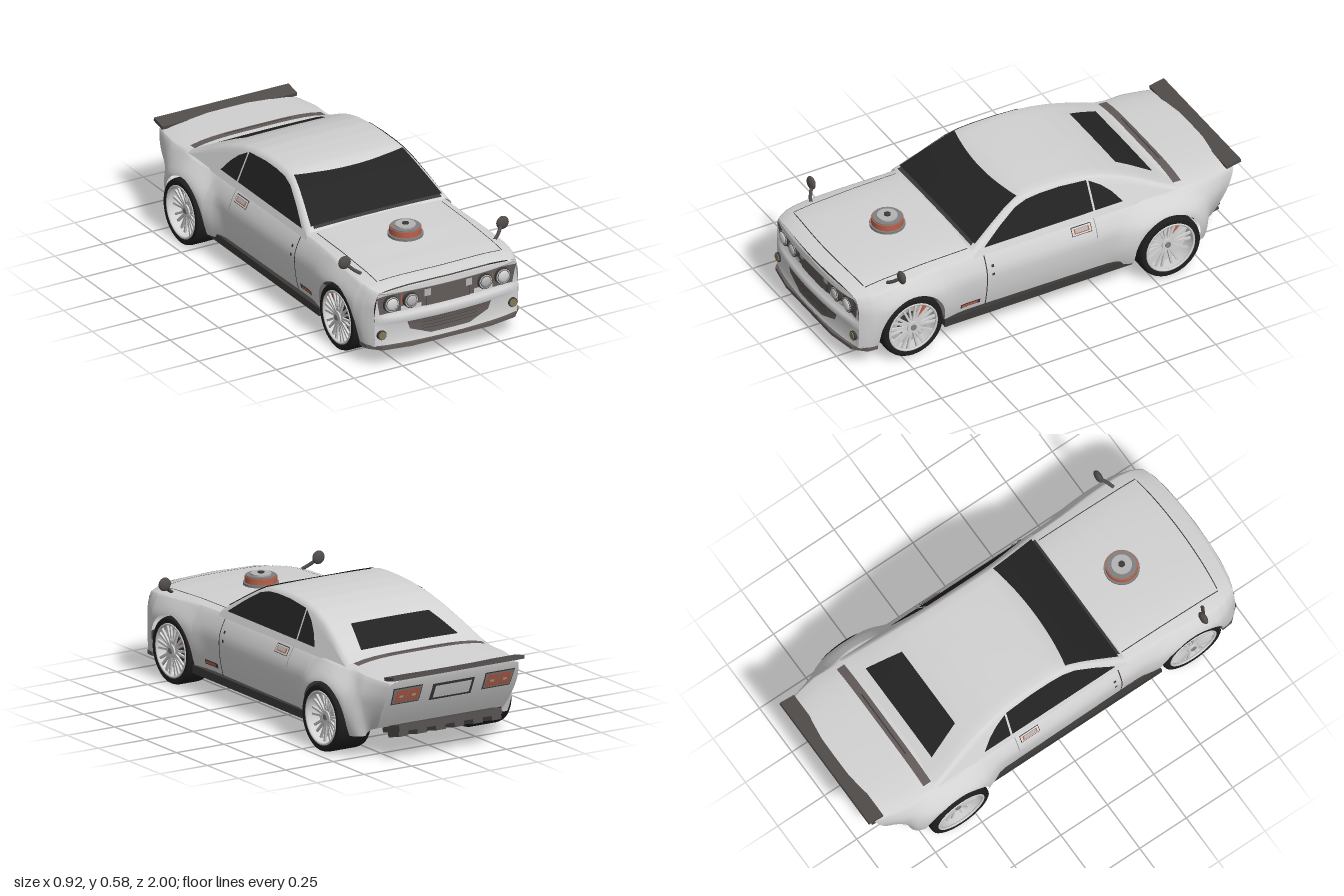
import * as THREE from 'three';

const mat = (name, color) => new THREE.MeshStandardMaterial({ name, color, side: THREE.DoubleSide });
const M = {
  paint: mat('silver paint', 0xd2d2d2), glass: mat('dark glass', 0x232323), tyre: mat('tyre rubber', 0x1e1e1e),
  trim: mat('dark trim', 0x3c3a39), grille: mat('grey grille', 0x625b59), chrome: mat('chrome', 0xb4b4b4),
  rust: mat('rust red', 0xb8614a), tan: mat('lamp and floor tan', 0x82785a), steel: mat('steel', 0x808080), charcoal: mat('charcoal', 0x504c4a),
};

// ---- helpers ----
const lerp = (a, b, t) => a + (b - a) * t;
const smooth = (a, b, x) => THREE.MathUtils.smoothstep(x, a, b);
function table(...p) { // piecewise curve through [z, value] pairs, z rising
  return z => {
    if (z <= p[0][0]) return p[0][1];
    for (let i = 1; i < p.length; i++) if (z <= p[i][0])
      return lerp(p[i - 1][1], p[i][1], (z - p[i - 1][0]) / (p[i][0] - p[i - 1][0]));
    return p[p.length - 1][1];
  };
}
function grid(rows) { // skin over rows of equal length
  const n = rows[0].length, idx = [];
  for (let i = 0; i < rows.length - 1; i++) for (let j = 0; j < n - 1; j++) {
    const a = i * n + j, b = a + n;
    idx.push(a, a + 1, b, b, a + 1, b + 1);
  }
  const g = new THREE.BufferGeometry();
  g.setAttribute('position', new THREE.Float32BufferAttribute(rows.flat(2), 3));
  g.setIndex(idx);
  g.computeVertexNormals();
  return g;
}
const patch = (nu, nv, f) => grid(Array.from({ length: nv + 1 }, (_, j) =>
  Array.from({ length: nu + 1 }, (_, i) => f(i / nu, j / nv))));
const mirrorRow = half => [...half, ...half.slice(0, -1).reverse().map(([x, y, z]) => [-x, y, z])];

// ---- body shape rules ----
const ZF = 0.95, ZR = -0.97, ARCH = 0.165, AXLE_Y = 0.153;
const axles = [{ z: 0.70, flare: 0.012 }, { z: -0.58, flare: 0.038 }];
const halfW = table([-0.97, 0.348], [-0.9, 0.373], [-0.8, 0.402], [-0.6, 0.415], [-0.4, 0.41], [0, 0.405], [0.4, 0.4],
  [0.7, 0.41], [0.85, 0.407], [0.9, 0.396], [0.93, 0.382], [0.95, 0.368]);
const tuck = table([-0.97, 0.012], [-0.7, 0.045], [0.7, 0.04], [0.95, 0.02]);
const centreY = table([-0.97, 0.405], [-0.65, 0.418], [0.35, 0.425], [0.6, 0.42], [0.8, 0.408], [0.9, 0.396], [0.95, 0.384]);
const beltY = z => centreY(z) - 0.028;
const beltX = z => halfW(z) - tuck(z);
const sill = table([-0.97, 0.15], [-0.85, 0.108], [-0.74, 0.105], [0.95, 0.1]);
const topY = (x, z) => lerp(centreY(z), beltY(z), Math.min(1, Math.abs(x) / beltX(z)) ** 4);
function sideX(y, z) {
  let x = halfW(z);
  if (y > 0.29) x -= tuck(z) * Math.min(1, (y - 0.29) / (beltY(z) - 0.29)) ** 1.6;
  else x -= 0.03 * ((0.29 - y) / 0.19) ** 2 * (1 - 0.8 * smooth(0.83, 0.94, z));
  for (const a of axles) x += a.flare * (1 - smooth(0.165, 0.275, Math.hypot(z - a.z, y - AXLE_Y)));
  return x;
}
// bowed nose and raked tail
const warp = (x, y, z) => [x, y, z + 0.035 * (1 - (x / 0.38) ** 2) * smooth(0.7, ZF, z)
  + 0.1 * (Math.max(0, 0.4 - y) / 0.22) ** 1.4 * (1 - smooth(ZR, -0.77, z))];
function bottomY(z) {
  for (const a of axles) {
    const d = Math.abs(z - a.z);
    if (d <= ARCH + 1e-6) return AXLE_Y + Math.sqrt(Math.max(0, ARCH * ARCH - d * d));
  }
  return sill(z);
}
const noseDepth = table([0.1, 0.01], [0.13, 0], [0.2, 0], [0.205, 0.012], [0.242, 0.012], [0.248, -0.02], [0.345, -0.02], [0.352, 0.015], [0.384, 0.012]);
const noseZ = (x, y) => warp(x, y, ZF + noseDepth(y) * (1 - Math.min(1, Math.abs(x) / sideX(y, ZF)) ** 8))[2];
const tailZ = (x, y) => warp(x, y, ZR)[2];

// ---- cabin shape rules ----
const roofY = table([-0.66, 0.403], [-0.6, 0.43], [-0.5, 0.48], [-0.4, 0.523], [-0.3, 0.554], [-0.2, 0.572], [-0.1, 0.579],
  [0, 0.579], [0.07, 0.574], [0.12, 0.56], [0.18, 0.53], [0.25, 0.489], [0.37, 0.415]);
const cabinX = y => 0.362 - 0.42 * (y - 0.41);
const roofAt = (x, z) => roofY(z) + 0.006 * (1 - (x / 0.36) ** 2);

export function createModel() {
  const car = new THREE.Group();
  car.name = 'car';
  const add = (name, geo, m, x = 0, y = 0, z = 0, parent = car) => {
    const o = new THREE.Mesh(geo, m);
    o.name = name;
    o.position.set(x, y, z);
    parent.add(o);
    return o;
  };
  const box = (name, m, w, h, d, x, y, z) => add(name, new THREE.BoxGeometry(w, h, d), m, x, y, z);
  const tube = (name, m, r, pts) => add(name, new THREE.TubeGeometry(
    new THREE.CatmullRomCurve3(pts.map(p => new THREE.Vector3(...p))), 32, r, 10), m);
  const disc = (name, m, r, d, x, y, z) => add(name, new THREE.CylinderGeometry(r, r, d, 24).rotateX(Math.PI / 2), m, x, y, z);

  // Lower body: loft with wheel arches cut by the lower edge
  const zs = [];
  const span = (a, b, n) => { for (let i = 0; i <= n; i++) zs.push(lerp(a, b, i / n)); };
  span(ZF, 0.868, 8);
  for (let k = 0; k <= 24; k++) zs.push(0.70 + ARCH * Math.cos(k / 24 * Math.PI));
  span(0.532, -0.412, 24);
  for (let k = 0; k <= 24; k++) zs.push(-0.58 + ARCH * Math.cos(k / 24 * Math.PI));
  span(-0.748, ZR, 12);
  const us = [0.98, 0.94, 0.88, 0.8, 0.6, 0.3, 0];
  add('bodyShell', grid(zs.map(z => {
    const half = [];
    for (let k = 0; k <= 12; k++) {
      const y = lerp(bottomY(z), beltY(z), k / 12);
      half.push(warp(sideX(y, z), y, z));
    }
    for (const u of us) half.push(warp(u * beltX(z), topY(u * beltX(z), z), z));
    return mirrorRow(half);
  })), M.paint);

  // Nose and tail panels
  const endWidth = (y, z) => y <= beltY(z) ? sideX(y, z) : beltX(z) * Math.max(0, 1 - (y - beltY(z)) / 0.028) ** 0.25;
  const cap = (name, ys, z, depth) => add(name, grid(ys.map(y => Array.from({ length: 33 }, (_, i) => {
    const x = (i / 16 - 1) * endWidth(y, z);
    return [x, y, depth(x, y)];
  }))), M.paint);
  cap('nosePanel', [0.1, 0.13, 0.2, 0.205, 0.242, 0.248, 0.345, 0.352, 0.356, 0.37, 0.38, 0.384], ZF, noseZ);
  cap('tailPanel', [0.15, 0.19, 0.24, 0.3, 0.35, 0.377, 0.39, 0.4, 0.405], ZR, tailZ);
  // thin trapezoid plate laid on nose or tail: spans at bottom and top
  const plate = (name, m, y0, a0, b0, y1, a1, b1, depth, off) => add(name, patch(16, 3, (u, v) => {
    const y = lerp(y0, y1, v), x = lerp(lerp(a0, a1, v), lerp(b0, b1, v), u);
    return [x, y, depth(x, y) + off];
  }), m);
  plate('upperGrille', M.grille, 0.249, -0.34, 0.34, 0.336, -0.357, 0.357, noseZ, 0.004);
  plate('grilleFrame', M.trim, 0.249, -0.113, 0.113, 0.344, -0.113, 0.113, noseZ, 0.007);
  plate('centreMesh', M.grille, 0.25, -0.11, 0.11, 0.342, -0.11, 0.11, noseZ, 0.009);
  plate('lowerGrille', M.grille, 0.163, -0.2, 0.2, 0.201, -0.215, 0.215, noseZ, 0.004);
  plate('lowerGrilleChin', M.grille, 0.125, -0.1, 0.1, 0.163, -0.2, 0.2, noseZ, 0.004);
  for (const y of [0.15, 0.165, 0.18]) plate('grilleSlat', M.trim, y, -0.14, 0.14, y + 0.002, -0.14, 0.14, noseZ, 0.006);

  // Front splitter and pan
  const pan = new THREE.Shape([[-0.2, 1], [0.2, 1], [0.34, 0.975], [0.39, 0.92], [0.395, 0.87], [0.26, 0.85], [0.26, 0.5], [-0.26, 0.5],
    [-0.26, 0.85], [-0.395, 0.87], [-0.39, 0.92], [-0.34, 0.975]].map(p => new THREE.Vector2(...p)));
  add('frontSplitter', new THREE.ExtrudeGeometry(pan, { depth: 0.018, bevelEnabled: false }).rotateX(Math.PI / 2), M.grille, 0, 0.104, 0);

  // Cabin shell
  const cz = Array.from({ length: 55 }, (_, i) => lerp(0.37, -0.66, i / 54));
  add('cabin', grid(cz.map(z => {
    const top = roofY(z), half = [], low = 0.385;
    for (let k = 0; k <= 5; k++) { const y = lerp(low, Math.max(low, top - 0.016), k / 5); half.push([cabinX(y), y, z]); }
    half.push([cabinX(top) - 0.004, top - 0.006, z]);
    const w = cabinX(top) - 0.016;
    for (const u of [1, 0.85, 0.6, 0.3, 0]) half.push([u * w, roofAt(u * w, z), z]);
    return mirrorRow(half);
  })), M.paint);
  // glass or trim lying on the sloping screen, between two z lines
  const screen = (name, m, z0, z1, bow, inset) => add(name, patch(20, 16, (u, v) => {
    const s = 2 * u - 1, z = lerp(z0, z1 + bow * (1 - s * s), v), x = s * (cabinX(roofY(z)) - inset);
    return [x, roofAt(x, z) + 0.005, z];
  }), m);
  screen('windshield', M.glass, 0.348, 0.102, 0.03, 0.018);
  screen('cowlStrip', M.trim, 0.362, 0.348, 0, 0.03);
  add('rearWindow', patch(12, 10, (u, v) => {
    const z = lerp(-0.6, -0.44, v), x = (2 * u - 1) * lerp(0.255, 0.205, v);
    return [x, roofAt(x, z) + 0.005, z];
  }), M.glass);

  // Strips on the upper surfaces
  const topStrip = (name, m, x0, x1, z0, z1, off = 0.003) => add(name, patch(12, 12, (u, v) => {
    const x = lerp(x0, x1, u), z = lerp(z0, z1, v), p = warp(x, topY(x, z), z);
    return [p[0], p[1] + off, p[2]];
  }), m);
  topStrip('deckVent', M.grille, -0.335, 0.335, -0.7, -0.66, 0.006);
  topStrip('deckVentSlot', M.trim, -0.17, 0.17, -0.685, -0.679, 0.009);
  topStrip('hoodFrontGap', M.trim, -0.31, 0.31, 0.885, 0.889);

  // Spoiler
  add('spoiler', new THREE.BoxGeometry(0.69, 0.016, 0.076), M.charcoal, 0, 0.402, -0.962).rotation.x = 0.2;

  for (const s of [1, -1]) {
    // Side glass
    const pane = (name, pts) => {
      const g = new THREE.ShapeGeometry(new THREE.Shape(pts.map(p => new THREE.Vector2(...p))));
      const p = g.attributes.position;
      for (let i = 0; i < p.count; i++) { const z = p.getX(i), y = p.getY(i); p.setXYZ(i, s * (cabinX(y) + 0.004), y, z); }
      g.computeVertexNormals();
      add(name, g, M.glass);
    };
    pane('doorWindow', [[0.315, 0.418], [0.22, 0.485], [0.13, 0.54], [0.07, 0.558], [0, 0.564], [-0.1, 0.564], [-0.235, 0.553], [-0.24, 0.418]]);
    pane('quarterWindow', [[-0.25, 0.418], [-0.245, 0.548], [-0.3, 0.515], [-0.345, 0.475], [-0.39, 0.418]]);
    // Painted and applied side details
    const side = (name, m, z0, z1, y0, y1, off = 0.003) => add(name, patch(6, 12, (u, v) => {
      const z = lerp(z0, z1, u), y = lerp(y0, y1, v);
      return [s * (sideX(y, z) + off), y, z];
    }), m);
    side('doorGapFront', M.trim, 0.318, 0.323, 0.125, 0.39);
    side('doorGapRear', M.steel, -0.237, -0.234, 0.3, 0.39);
    side('handlePlate', M.trim, -0.215, -0.115, 0.34, 0.378, 0.003);
    side('handleRim', M.paint, -0.212, -0.118, 0.343, 0.375, 0.004);
    side('handleRecess', M.rust, -0.203, -0.127, 0.349, 0.37, 0.005);
    side('doorHandle', M.chrome, -0.196, -0.133, 0.354, 0.37, 0.007);
    side('sideMarkerFrame', M.trim, 0.35, 0.45, 0.15, 0.172);
    side('sideMarker', M.rust, 0.365, 0.445, 0.154, 0.168, 0.005);
    for (const y of [0.285, 0.325]) side('fenderBadgeStud', M.trim, 0.282, 0.295, y, y + 0.013);
    box('sideSkirt', M.trim, 0.035, 0.037, 0.95, s * 0.385, 0.107, 0.06);
    topStrip('hoodSideGap', M.trim, s * 0.318, s * 0.322, 0.376, 0.887);

    // Lamps
    for (const [x, r, lens] of [[0.285, 0.039, M.paint], [0.19, 0.036, M.chrome]]) {
      const z = noseZ(x, 0.295);
      disc('headlightRing', M.trim, r, 0.03, s * x, 0.295, z + 0.004);
      disc('headlightBezel', M.chrome, r - 0.004, 0.03, s * x, 0.295, z + 0.006);
      disc('headlightGap', M.trim, r - 0.009, 0.03, s * x, 0.295, z + 0.007);
      add('headlightLens', new THREE.SphereGeometry(r - 0.011, 20, 10).scale(1, 1, 0.35), lens, s * x, 0.295, z + 0.022);
    }
    plate('lampSurround', M.paint, 0.249, s * 0.135, s * 0.235, 0.272, s * 0.135, s * 0.235, noseZ, 0.008);
    plate('grilleTab', M.chrome, 0.298, s * 0.09, s * 0.122, 0.332, s * 0.09, s * 0.122, noseZ, 0.012);
    plate('lampMark', M.rust, 0.275, s * 0.23, s * 0.235, 0.335, s * 0.23, s * 0.235, noseZ, 0.008);
    disc('fogLampRing', M.trim, 0.022, 0.02, s * 0.335, 0.155, noseZ(0.335, 0.155));
    disc('fogLamp', M.tan, 0.018, 0.02, s * 0.335, 0.155, noseZ(0.335, 0.155) + 0.004);
    plate('tailLampFrame', M.trim, 0.27, s * 0.165, s * 0.314, 0.354, s * 0.165, s * 0.32, tailZ, -0.003);
    plate('tailLampBezel', M.steel, 0.275, s * 0.17, s * 0.31, 0.349, s * 0.17, s * 0.315, tailZ, -0.005);
    for (const x of [0.177, 0.242]) plate('tailLamp', M.rust, 0.282, s * x, s * (x + 0.06), 0.342, s * x, s * (x + 0.06), tailZ, -0.008);
    for (const x of [0.207, 0.272]) plate('reverseLamp', M.chrome, 0.305, s * (x - 0.01), s * (x + 0.01), 0.316, s * (x - 0.01), s * (x + 0.01), tailZ, -0.01);

    // Fender mirrors
    add('mirror', new THREE.SphereGeometry(0.031, 20, 14).scale(1, 1, 0.5), M.charcoal, s * 0.405, 0.443, 0.757);
    tube('mirrorStalk', M.charcoal, 0.008, [[s * 0.343, 0.39, 0.795], [s * 0.37, 0.408, 0.78], [s * 0.395, 0.432, 0.76]]);

    // Wheels
    for (const a of axles) {
      const front = a.z > 0, w = front ? 0.135 : 0.18, face = w / 2 - (front ? 0.014 : 0.04);
      const wheel = new THREE.Group();
      wheel.name = front ? 'frontWheel' : 'rearWheel';
      wheel.position.set(s * (0.28 + w / 2), AXLE_Y, a.z);
      wheel.rotation.y = s > 0 ? 0 : Math.PI;
      car.add(wheel);
      const prof = [[0.12, -w / 2 + 0.006], [0.14, -w / 2], [0.149, -w / 2 + 0.006], [0.153, -w / 2 + 0.02], [0.153, w / 2 - 0.02],
        [0.149, w / 2 - 0.006], [0.14, w / 2], [0.12, w / 2 - 0.006]].map(p => new THREE.Vector2(...p));
      add('tyre', new THREE.LatheGeometry(prof, 40).rotateZ(-Math.PI / 2), M.tyre, 0, 0, 0, wheel);
      const roll = (name, m, r, d, x) => add(name, new THREE.CylinderGeometry(r, r, d, 32).rotateZ(Math.PI / 2), m, x, 0, 0, wheel);
      add('rimBarrel', new THREE.CylinderGeometry(0.121, 0.121, w - 0.01, 40, 1, true).rotateZ(Math.PI / 2), M.paint, 0, 0, 0, wheel);
      add('rimLip', new THREE.TorusGeometry(0.119, 0.006, 8, 40).rotateY(Math.PI / 2), M.paint, w / 2 - 0.007, 0, 0, wheel);
      roll('brakeDisc', front ? M.chrome : M.paint, front ? 0.1 : 0.113, 0.01, face - 0.035);
      roll('hub', M.paint, 0.028, 0.02, face);
      roll('hubCap', M.steel, 0.014, 0.01, face + 0.01);
      add('caliper', new THREE.BoxGeometry(0.026, 0.065, 0.032), M.rust, face - 0.026, 0.055, -0.06 * s, wheel).rotation.x = -0.8 * s;
      for (let k = 0; k < 5; k++) for (const lean of [-0.42, -0.16, 0.16, 0.42]) { // forked spokes
        const g = new THREE.BoxGeometry(0.01, 0.1, 0.01).translate(0, 0.07, 0).rotateX(k * Math.PI * 0.4 + lean);
        add('spoke', g, M.paint, face - 0.002, 0, 0, wheel);
      }
      if (front) roll('brakeHub', M.trim, 0.06, 0.02, face - 0.034);
    }
    // Exhaust and floor panels
    tube('exhaustPipe', M.chrome, 0.017, [[s * 0.16, 0.1, 0.5], [s * 0.15, 0.094, 0.36], [s * 0.07, 0.092, 0.24], [s * 0.045, 0.092, 0.1],
      [s * 0.045, 0.092, -0.1], [s * 0.06, 0.092, -0.25], [s * 0.075, 0.098, -0.42], [s * 0.12, 0.11, -0.7], [s * 0.16, 0.12, -0.86]]);
    for (const z of [-0.17, 0.27]) box('floorPanel', M.tan, 0.13, 0.006, 0.38, s * 0.21, 0.095, z);
  }

  // Number plate
  plate('plateFrame', M.trim, 0.262, -0.11, 0.11, 0.345, -0.11, 0.11, tailZ, -0.004);
  plate('numberPlate', M.paint, 0.273, -0.095, 0.095, 0.334, -0.095, 0.095, tailZ, -0.008);

  // Rear diffuser with fins
  add('diffuser', new THREE.BoxGeometry(0.54, 0.03, 0.14), M.charcoal, 0, 0.141, -0.864).rotation.x = 0.25;
  for (let i = 0; i < 6; i++) add('diffuserFin', new THREE.BoxGeometry(0.05, 0.04, 0.09), M.charcoal, -0.245 + i * 0.098, 0.128, -0.882).rotation.x = 0.25;

  // Air filter through the hood
  const drum = (name, m, r, h, y, n = 32) => add(name, new THREE.CylinderGeometry(r, r, h, n), m, 0, y, 0.6);
  drum('filterBase', M.steel, 0.08, 0.012, 0.426);
  drum('airFilter', M.rust, 0.072, 0.028, 0.446);
  drum('filterLid', M.steel, 0.067, 0.006, 0.462);
  drum('filterCap', M.chrome, 0.046, 0.008, 0.468);
  drum('filterNut', M.trim, 0.016, 0.01, 0.473, 6);

  // Underbody
  box('innerStructure', M.charcoal, 0.5, 0.22, 1.68, 0, 0.23, 0.06);
  box('floor', M.grille, 0.75, 0.025, 0.94, 0, 0.108, 0.06);
  tube('rearAxle', M.steel, 0.018, [[-0.3, AXLE_Y, -0.58], [0, 0.14, -0.58], [0.3, AXLE_Y, -0.58]]);
  add('differential', new THREE.SphereGeometry(0.045, 16, 12), M.steel, 0, 0.125, -0.58);
  box('exhaustCrossover', M.chrome, 0.1, 0.026, 0.06, 0, 0.092, 0.02);
  add('gearbox', new THREE.CylinderGeometry(0.035, 0.035, 0.3, 16).rotateX(Math.PI / 2), M.charcoal, 0, 0.105, 0.4);
  return car;
}
